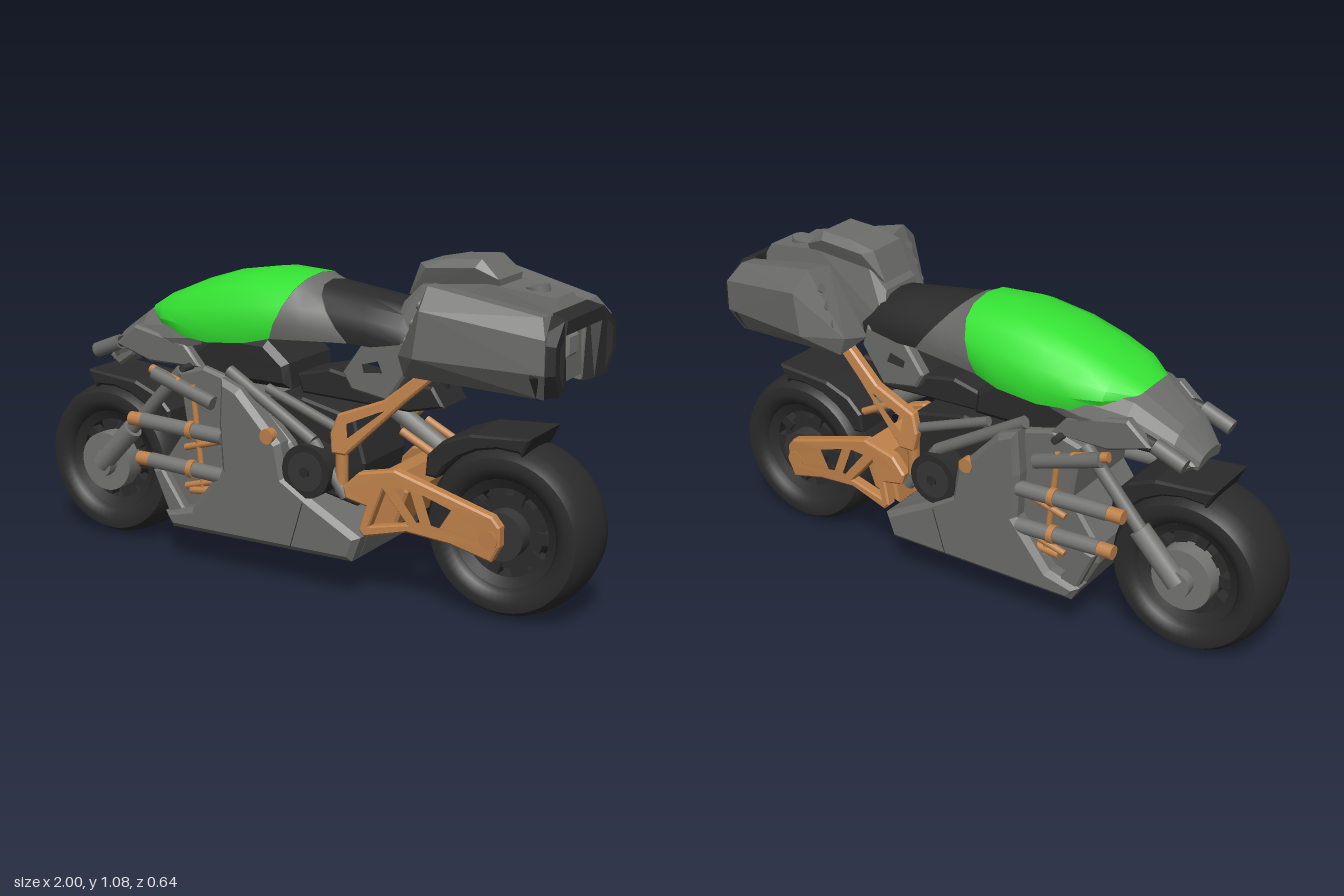
import * as THREE from 'three';
import { toCreasedNormals } from 'three/addons/utils/BufferGeometryUtils.js';
import { ConvexGeometry } from 'three/addons/geometries/ConvexGeometry.js';

const paint = (name, color) => Object.assign(new THREE.MeshStandardMaterial({ color }), { name });

export function createModel() {
  const grey = paint('body grey', 0x6c6c6a), steel = paint('light steel', 0x757572);
  const black = paint('rubber black', 0x2b2b2b), trim = paint('dark trim', 0x363636);
  const green = paint('bright green', 0x34e232), orange = paint('copper orange', 0xbd8049);
  const root = new THREE.Group();
  root.name = 'motorcycle';

  const add = (name, geo, mat, parent = root) => {
    const m = new THREE.Mesh(geo, mat);
    m.name = name;
    parent.add(m);
    return m;
  };
  const both = (fn) => [1, -1].forEach(fn);
  // side-view outline extruded between two depths, with a small chamfer
  const plateGeo = (pts, z0, z1, holes = [], bevel = 0.008) => {
    const v = (p) => p.map(([x, y]) => new THREE.Vector2(x, y));
    const shape = new THREE.Shape(v(pts));
    holes.forEach((h) => shape.holes.push(new THREE.Path(v(h))));
    const depth = Math.abs(z1 - z0) - 2 * bevel;
    return new THREE.ExtrudeGeometry(shape, { depth, bevelEnabled: true,
      bevelThickness: bevel, bevelSize: bevel, bevelOffset: -bevel, bevelSegments: 1 })
      .translate(0, 0, Math.min(z0, z1) + bevel);
  };
  const plate = (name, pts, z0, z1, mat, holes, bevel) => add(name, plateGeo(pts, z0, z1, holes, bevel), mat);
  // mirrored pair of plates; lean gives extra outward depth from x and y
  const sidePlates = (name, pts, z0, z1, mat, holes, bevel, lean = () => 0) => both((s) => {
    const g = plateGeo(pts, s * z0, s * z1, holes, bevel), p = g.attributes.position;
    for (let i = 0; i < p.count; i++) p.setZ(i, p.getZ(i) + s * lean(p.getX(i), p.getY(i)));
    g.computeVertexNormals();
    add(name, g, mat);
  });
  const hull = (name, pts, mat) => add(name, new ConvexGeometry(pts.map((p) => new THREE.Vector3(...p))), mat);
  const wideHull = (name, pts, mat) => hull(name, [...pts, ...pts.map(([x, y, z]) => [x, y, -z])], mat);
  const bar = (name, a, b, r, mat, sides = 14) => {
    const p = new THREE.Vector3(...a), q = new THREE.Vector3(...b);
    const m = add(name, new THREE.CylinderGeometry(r, r, p.distanceTo(q), sides), mat);
    m.position.copy(p).add(q).multiplyScalar(0.5);
    m.quaternion.setFromUnitVectors(new THREE.Vector3(0, 1, 0), q.sub(p).normalize());
  };
  const bars = (name, a, b, r, mat) =>
    both((s) => bar(name, [a[0], a[1], s * a[2]], [b[0], b[1], s * b[2]], r, mat));
  const disc = (name, x, y, z, r, d, mat, parent = root, sides = 32) =>
    add(name, new THREE.CylinderGeometry(r, r, d, sides).rotateX(Math.PI / 2).translate(x, y, z), mat, parent);

  // shell lofted along x; rows are [xTop, xBottom, yTop, yBottom, halfWidth]
  const profile = [[0, 0], [0.42, 0.05], [0.72, 0.19], [0.92, 0.45], [1, 0.74], [0.95, 1], [0.75, 0.95], [0, 0.72]];
  const ring = [...profile, ...profile.slice(1, -1).reverse().map(([w, t]) => [-w, t])];
  const shell = (name, rows, mat, crease = 0.6) => {
    const n = ring.length, pos = [], idx = [];
    rows.forEach(([xt, xb, yt, yb, w]) => ring.forEach(([u, t]) =>
      pos.push(xt + (xb - xt) * t, yt + (yb - yt) * t, u * w)));
    for (let i = 0; i < rows.length - 1; i++) for (let j = 0; j < n; j++) {
      const a = i * n + j, b = i * n + (j + 1) % n;
      idx.push(a, b, b + n, a, b + n, a + n);
    }
    [0, rows.length - 1].forEach((i) => {
      const [xt, xb, yt, yb] = rows[i], c = pos.length / 3;
      pos.push(xt + (xb - xt) * 0.5, yt + (yb - yt) * 0.5, 0);
      for (let j = 0; j < n; j++) {
        const a = i * n + j, b = i * n + (j + 1) % n;
        idx.push(c, i ? a : b, i ? b : a);
      }
    });
    const g = new THREE.BufferGeometry();
    g.setAttribute('position', new THREE.Float32BufferAttribute(pos, 3));
    g.setIndex(idx);
    add(name, toCreasedNormals(g, crease), mat);
  };

  // wheels: tyre, open rim with spokes, hub
  const lathe = (pts) => toCreasedNormals(new THREE.LatheGeometry(pts.map((p) => new THREE.Vector2(...p)), 56)
    .rotateX(Math.PI / 2), 0.7);
  const half = [[0.165, 0.085], [0.18, 0.108], [0.21, 0.12], [0.238, 0.115], [0.254, 0.09], [0.262, 0.05]];
  const tyre = [...half.map(([r, h]) => [r, -h]), [0.266, 0], ...[...half].reverse(), [0.165, -0.085]];
  const rim = [[0.138, -0.075], [0.168, -0.09], [0.168, 0.09], [0.138, 0.075], [0.138, -0.075]];
  both((s) => {
    const wheel = new THREE.Group(), rear = s > 0;
    wheel.name = rear ? 'rearWheel' : 'frontWheel';
    wheel.position.set(s * 0.735, 0.268, 0);
    root.add(wheel);
    add('tyre', lathe(tyre), black, wheel);
    add('rim', lathe(rim), black, wheel);
    disc('hub', 0, 0, 0, rear ? 0.115 : 0.105, 0.13, black, wheel);
    both((e) => disc('hubCover', 0, 0, e * 0.09, rear ? 0.075 : 0.1, rear ? 0.06 : 0.08, rear ? trim : steel, wheel));
    for (let i = 0; i < 10; i++) both((e) => add('spoke', new THREE.BoxGeometry(0.06, 0.036, 0.04)
      .translate(0.125, 0, e * 0.055).rotateZ(i * Math.PI / 5), black, wheel));
    // mudguard hugging the tyre
    const outer = [[0.475, 0.41], [0.48, 0.475], [0.53, 0.525], [0.62, 0.56], [0.82, 0.575], [0.79, 0.515]];
    const inner = [80, 95, 110, 125, 138, 148].map((d) => [0.735 + 0.262 * Math.cos(d * Math.PI / 180),
      0.268 + 0.262 * Math.sin(d * Math.PI / 180)]);
    plate('mudguard', [...outer, ...inner].map(([x, y]) => [s * x, y]), -0.108, 0.108, black);
  });

  // front fork
  bars('forkLeg', [-0.735, 0.267, 0.15], [-0.6, 0.41, 0.15], 0.034, steel);
  bars('forkTube', [-0.62, 0.39, 0.15], [-0.4, 0.63, 0.14], 0.022, grey);
  bars('axleCap', [-0.735, 0.267, 0.12], [-0.735, 0.267, 0.165], 0.045, steel);

  // lower body: narrow core with wide outer panels
  plate('bodyCore', [[-0.4, 0.122], [0.28, 0.128], [0.31, 0.21], [0.12, 0.3], [0.03, 0.46], [-0.14, 0.62], [-0.3, 0.66],
    [-0.4, 0.63], [-0.37, 0.45], [-0.47, 0.31], [-0.47, 0.25]], -0.165, 0.165, grey, [], 0.01);
  sidePlates('sidePanel', [[-0.2, 0.645], [-0.13, 0.62], [0.02, 0.465], [0.04, 0.36], [0.14, 0.3], [0.31, 0.21],
    [0.28, 0.128], [-0.4, 0.12], [-0.43, 0.17], [-0.32, 0.2], [-0.2, 0.35], [-0.21, 0.5]], 0.14, 0.22, grey, [], 0.018);
  both((s) => bar('panelSeam', [0.065, 0.14, s * 0.219], [0.11, 0.29, s * 0.219], 0.002, trim, 6));
  sidePlates('frontStrut', [[-0.48, 0.3], [-0.44, 0.31], [-0.33, 0.15], [-0.4, 0.125]], 0.165, 0.205, grey);

  // side dampers with copper fittings
  [[0.46, -0.56], [0.33, -0.53]].forEach(([y, x]) => {
    bars('damper', [x + 0.04, y, 0.195], [-0.2, y - 0.01, 0.195], 0.025, steel);
    bars('damperEnd', [x - 0.01, y, 0.195], [x + 0.04, y, 0.195], 0.023, orange);
    bars('damperCollar', [-0.335, y - 0.005, 0.195], [-0.315, y - 0.005, 0.195], 0.03, orange);
    bars('damperRod', [-0.36, y - 0.07, 0.18], [-0.22, y - 0.03, 0.18], 0.011, orange);
  });
  bars('linkRod', [-0.5, 0.63, 0.17], [-0.38, 0.6, 0.18], 0.016, orange);
  bars('linkRod', [-0.33, 0.6, 0.18], [-0.29, 0.24, 0.18], 0.01, orange);
  bars('lowerLink', [-0.34, 0.25, 0.18], [-0.24, 0.26, 0.18], 0.014, orange);
  bars('upperDamper', [-0.48, 0.62, 0.18], [-0.25, 0.55, 0.18], 0.024, grey);

  // engine
  plate('engineBlock', [[-0.08, 0.58], [0.05, 0.6], [0.24, 0.56], [0.28, 0.42], [0.25, 0.28], [0.05, 0.32]], -0.13, 0.13, black);
  plate('airBox', [[-0.37, 0.7], [-0.27, 0.77], [-0.08, 0.765], [0, 0.7], [0.01, 0.62], [-0.3, 0.62]], -0.14, 0.14, black, [], 0.02);
  plate('battery', [[0.0, 0.66], [0.12, 0.69], [0.24, 0.67], [0.48, 0.68], [0.52, 0.62], [0.4, 0.59], [0.02, 0.6]], -0.08, 0.08, black);
  both((s) => {
    disc('clutchCover', 0.115, 0.39, s * 0.165, 0.085, 0.09, black);
    disc('clutchRing', 0.115, 0.39, s * 0.207, 0.062, 0.012, trim);
    disc('clutchBolt', 0.115, 0.39, s * 0.214, 0.018, 0.012, black, root, 6);
    disc('frameKnob', -0.02, 0.485, s * 0.21, 0.024, 0.03, orange);
  });

  // frame tubes and seat bracket
  bars('frameTube', [-0.2, 0.66, 0.16], [0.12, 0.48, 0.17], 0.02, grey);
  bars('frameTube', [-0.06, 0.62, 0.15], [0.2, 0.53, 0.16], 0.016, grey);
  bars('rearTube', [0.12, 0.48, 0.17], [0.24, 0.32, 0.17], 0.02, grey);
  sidePlates('seatBracket', [[0.2, 0.7], [0.27, 0.8], [0.42, 0.82], [0.44, 0.75], [0.36, 0.63], [0.23, 0.65]],
    0.09, 0.135, grey, [[[0.26, 0.74], [0.33, 0.76], [0.35, 0.71], [0.27, 0.7]]]);
  sidePlates('subframe', [[0.19, 0.52], [0.21, 0.58], [0.36, 0.64], [0.51, 0.765], [0.545, 0.745], [0.43, 0.64], [0.25, 0.46], [0.2, 0.46]],
    0.145, 0.18, orange, [[[0.24, 0.56], [0.35, 0.61], [0.38, 0.615], [0.25, 0.505]]], 0.006, (x, y) => (0.58 - y) * 0.17);
  bars('subframeBrace', [0.22, 0.5, 0.165], [0.22, 0.33, 0.165], 0.02, orange);
  bar('shock', [0.3, 0.58, 0], [0.5, 0.46, 0], 0.03, steel);
  bars('shockLink', [0.38, 0.53, 0.08], [0.5, 0.47, 0.08], 0.013, orange);

  // swingarm, splayed outward toward the pivot and the foot
  sidePlates('swingarm', [[0.24, 0.36], [0.29, 0.41], [0.41, 0.435], [0.73, 0.34], [0.755, 0.31], [0.755, 0.25], [0.73, 0.2],
    [0.6, 0.235], [0.46, 0.25], [0.32, 0.215], [0.3, 0.235], [0.32, 0.31], [0.25, 0.325]], 0.125, 0.165, orange, [
    [[0.335, 0.25], [0.46, 0.275], [0.375, 0.37]], [[0.405, 0.385], [0.47, 0.39], [0.51, 0.285], [0.49, 0.28]],
    [[0.5, 0.38], [0.61, 0.345], [0.57, 0.275], [0.535, 0.28]]], 0.006,
    (x, y) => (0.75 - x) * 0.07 + (0.75 - x) * (0.32 - y) * 0.2);
  plate('swingarmBridge', [[0.3, 0.22], [0.33, 0.4], [0.42, 0.42], [0.44, 0.36], [0.4, 0.25]], -0.15, 0.15, orange);
  both((s) => disc('axleNut', 0.72, 0.268, s * 0.16, 0.03, 0.02, orange));

  // tank, its rear surround and the seat
  shell('tank', [[-0.56, -0.53, 0.825, 0.79, 0.1], [-0.48, -0.46, 0.872, 0.775, 0.165], [-0.38, -0.37, 0.915, 0.755, 0.19],
    [-0.25, -0.26, 0.957, 0.75, 0.205], [-0.1, -0.12, 0.982, 0.765, 0.207], [0.045, -0.035, 0.975, 0.785, 0.192]], green);
  shell('tankSurround', [[0.045, -0.035, 0.974, 0.785, 0.191], [0.06, 0.08, 0.965, 0.79, 0.175], [0.085, 0.22, 0.957, 0.795, 0.155]], grey);
  shell('seat', [[0.085, 0.22, 0.957, 0.795, 0.15], [0.25, 0.3, 0.937, 0.79, 0.142], [0.39, 0.4, 0.92, 0.77, 0.135],
    [0.47, 0.43, 0.86, 0.765, 0.12]], black);

  // nose fairing and steering
  shell('noseFairing', [[-0.75, -0.74, 0.66, 0.61, 0.07], [-0.68, -0.68, 0.735, 0.645, 0.115], [-0.55, -0.54, 0.825, 0.7, 0.165],
    [-0.42, -0.4, 0.845, 0.71, 0.185], [-0.25, -0.3, 0.83, 0.735, 0.18]], grey, 0.2);
  plate('headlampJaw', [[-0.74, 0.63], [-0.66, 0.69], [-0.6, 0.69], [-0.64, 0.64], [-0.7, 0.6]], -0.09, 0.09, grey);
  plate('steeringHead', [[-0.62, 0.68], [-0.36, 0.7], [-0.36, 0.63], [-0.6, 0.64]], -0.1, 0.1, black);
  bars('handgrip', [-0.74, 0.66, 0.15], [-0.64, 0.7, 0.15], 0.025, grey);
  bars('handlebar', [-0.64, 0.7, 0.15], [-0.52, 0.73, 0.14], 0.018, trim);
  sidePlates('cowlFlap', [[-0.64, 0.7], [-0.56, 0.77], [-0.36, 0.73], [-0.3, 0.66], [-0.5, 0.655]], 0.14, 0.18, grey);
  bars('footLever', [-0.34, 0.66, 0.17], [-0.34, 0.66, 0.22], 0.012, trim);

  // tail unit
  wideHull('tailUnit', [[0.36, 0.83, 0.115], [0.38, 0.93, 0.075], [0.45, 1.0, 0.075], [0.65, 1.01, 0.075], [0.86, 0.985, 0.065],
    [0.885, 0.94, 0.07], [0.885, 0.74, 0.085], [0.43, 0.76, 0.1]], grey);
  wideHull('tailHump', [[0.39, 0.95, 0.065], [0.43, 1.05, 0.07], [0.52, 1.07, 0.07], [0.63, 1.078, 0.07], [0.69, 1.025, 0.08],
    [0.62, 1.055, 0.095], [0.46, 1.04, 0.095], [0.45, 1.01, 0.085], [0.69, 1.0, 0.07]], grey);
  bar('fillerCap', [0.78, 0.98, 0], [0.775, 1.005, 0], 0.036, grey, 20);
  wideHull('tailPlate', [[0.885, 0.88, 0.036], [0.885, 0.81, 0.036], [0.895, 0.87, 0.03], [0.895, 0.82, 0.03]], steel);
  plate('tailLamp', [[0.56, 0.75], [0.76, 0.74], [0.74, 0.7], [0.62, 0.69]], -0.065, 0.065, black);
  bar('guardStay', [0.46, 0.74, 0], [0.46, 0.6, 0], 0.035, black);

  // panniers with dark rear caps joined by an arch
  both((s) => {
    const box = (name, pts, mat) => hull(name, pts.map(([x, y, z]) => [x, y, s * z]), mat);
    box('pannier', [[0.55, 1.02, 0.25], [0.53, 1.015, 0.17], [0.56, 0.96, 0.318], [0.54, 0.82, 0.318], [0.46, 0.74, 0.22],
      [0.42, 0.78, 0.13], [0.44, 0.8, 0.22], [0.88, 0.955, 0.19], [0.88, 0.95, 0.13], [0.91, 0.9, 0.235], [0.91, 0.8, 0.235],
      [0.89, 0.72, 0.19], [0.88, 0.72, 0.09]], grey);
    box('pannierCap', [[0.87, 0.89, 0.244], [0.87, 0.79, 0.244], [0.87, 0.715, 0.19], [0.93, 0.73, 0.17], [0.935, 0.8, 0.215],
      [0.935, 0.88, 0.215], [0.925, 0.94, 0.14], [0.88, 0.95, 0.13], [0.88, 0.715, 0.1], [0.92, 0.73, 0.1]], black);
    box('capInset', [[0.936, 0.87, 0.19], [0.936, 0.8, 0.19], [0.932, 0.75, 0.15], [0.933, 0.9, 0.15]], trim);
    for (let i = 0; i < 3; i++) for (let j = 0; j < 2; j++)
      bar('pannierStud', [0.5 + i * 0.018, 0.84 + i * 0.055, s * (0.18 + j * 0.05)],
        [0.47 + i * 0.022, 0.85 + i * 0.055, s * (0.18 + j * 0.05)], 0.015, grey, 10);
  });
  wideHull('tailArch', [[0.88, 0.955, 0.12], [0.93, 0.94, 0.13], [0.93, 0.9, 0.14], [0.88, 0.9, 0.14]], black);
  return root;
}
